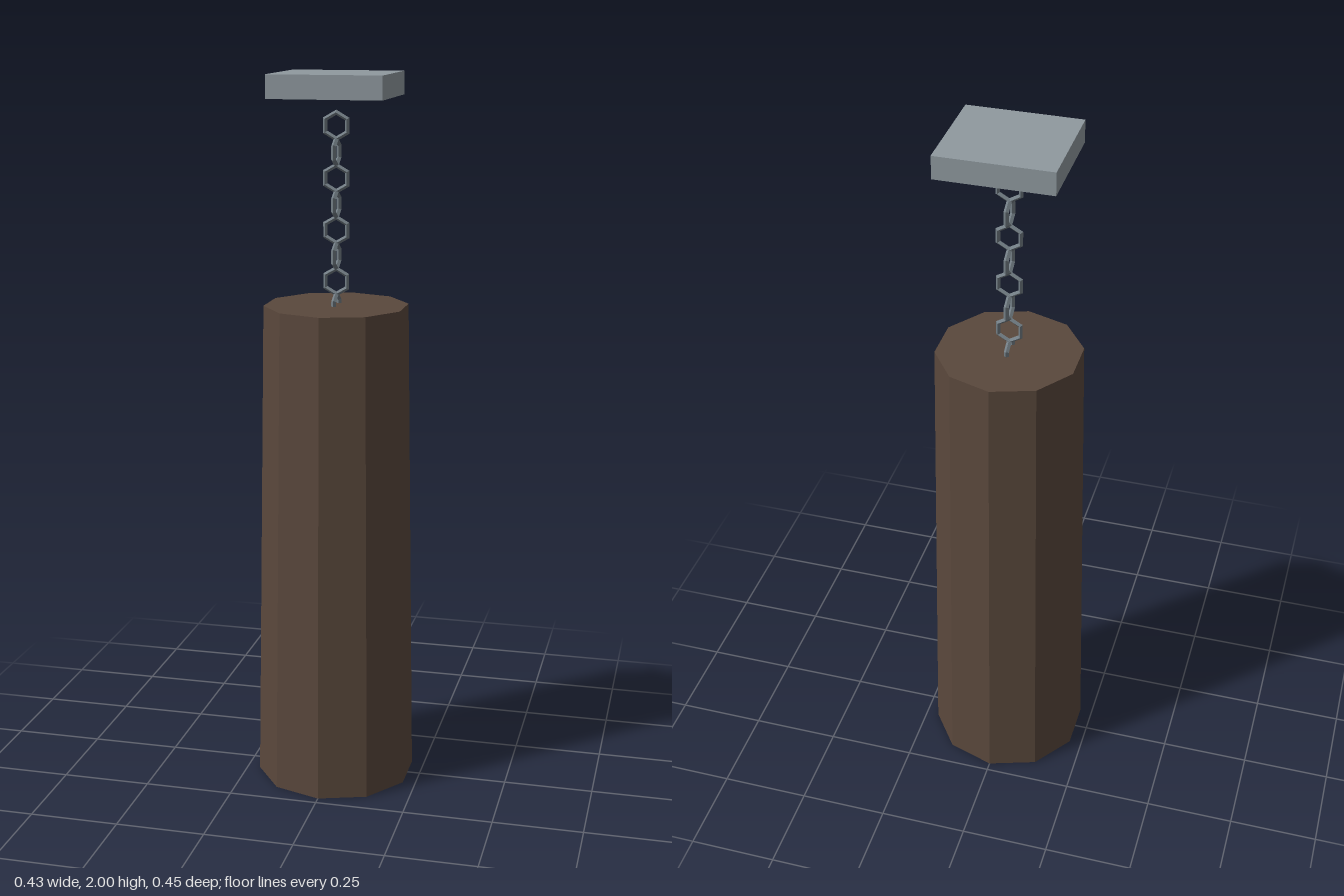
import * as THREE from 'three';

const mat = (name, color) => {
  const m = new THREE.MeshStandardMaterial({ color, flatShading: true });
  m.name = name;
  return m;
};

export function createModel() {
  const group = new THREE.Group();
  group.name = 'hangingLog';
  const wood = mat('dark wood', 0x5a483c);
  const steel = mat('plate steel', 0x8f999f);
  const iron = mat('chain iron', 0x727d84);

  const add = (name, geometry, material, y) => {
    const mesh = new THREE.Mesh(geometry, material);
    mesh.name = name;
    mesh.position.y = y;
    group.add(mesh);
    return mesh;
  };

  // Tapered ten-sided log
  add('log', new THREE.CylinderGeometry(0.2, 0.225, 1.376, 10), wood, 0.688);

  // Ceiling plate
  add('ceilingPlate', new THREE.BoxGeometry(0.312, 0.063, 0.288), steel, 1.9685);

  // Chain of hexagonal links, each turned a quarter from the last
  const link = new THREE.TorusGeometry(0.035, 0.007, 4, 6);
  link.rotateZ(Math.PI / 6);
  for (let i = 0; i < 8; i++) {
    const mesh = add('chainLink' + (i + 1), link, iron, 1.861 - i * 0.07);
    mesh.rotation.y = (i % 2) * Math.PI / 2;
  }
  return group;
}
